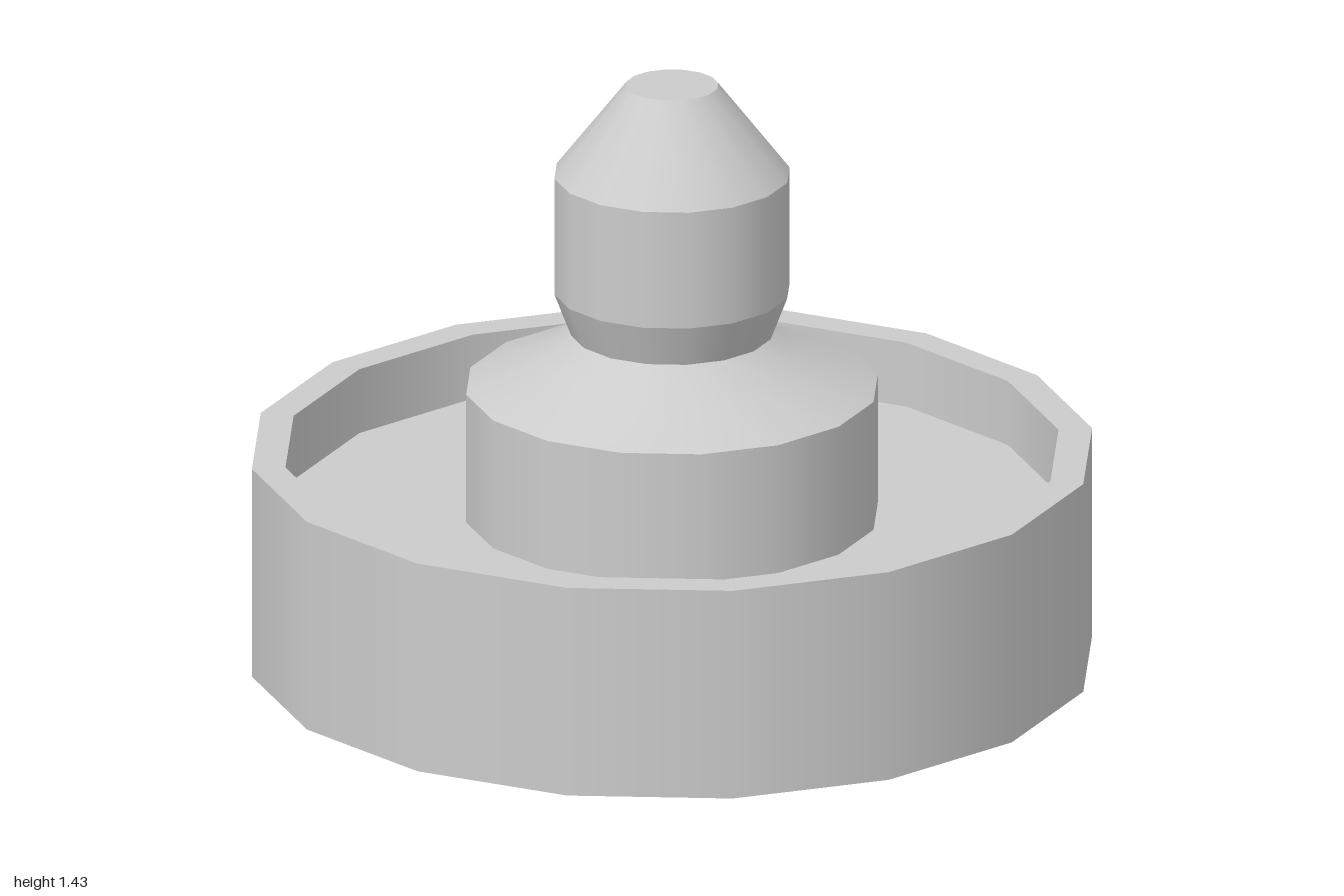
import * as THREE from 'three';

const SIDES = 16;

export function createModel() {
  const model = new THREE.Group();
  const material = new THREE.MeshStandardMaterial({ color: 0xcccccc, side: THREE.DoubleSide });

  // One smooth turned band; separate bands keep the edges between them crisp
  const band = (parent, name, profile) => {
    const points = profile.map(([r, y]) => new THREE.Vector2(r, y));
    const mesh = new THREE.Mesh(new THREE.LatheGeometry(points, SIDES), material);
    mesh.name = name;
    parent.add(mesh);
  };
  const part = (name) => {
    const group = new THREE.Group();
    group.name = name;
    model.add(group);
    return group;
  };

  // Thin-shelled base, open underneath, with a raised rim
  const base = part('base');
  band(base, 'outerWall', [[1, 0], [1, 0.52]]);
  band(base, 'rim', [[1, 0.52], [0.92, 0.52]]);
  band(base, 'innerWall', [[0.92, 0.52], [0.92, 0.36]]);
  band(base, 'floor', [[0.92, 0.36], [0.49, 0.36]]);

  // Hollow hub and sloping shoulder
  const hub = part('hub');
  band(hub, 'hubWall', [[0.49, 0.36], [0.49, 0.68]]);
  band(hub, 'shoulder', [[0.49, 0.68], [0.31, 0.76], [0.24, 0.815]]);

  // Grip knob
  const knob = part('knob');
  band(knob, 'neck', [[0.24, 0.815], [0.28, 0.92]]);
  band(knob, 'grip', [[0.28, 0.92], [0.28, 1.21]]);
  band(knob, 'taper', [[0.28, 1.21], [0.11, 1.43]]);
  band(knob, 'cap', [[0.11, 1.43], [0, 1.43]]);

  return model;
}
